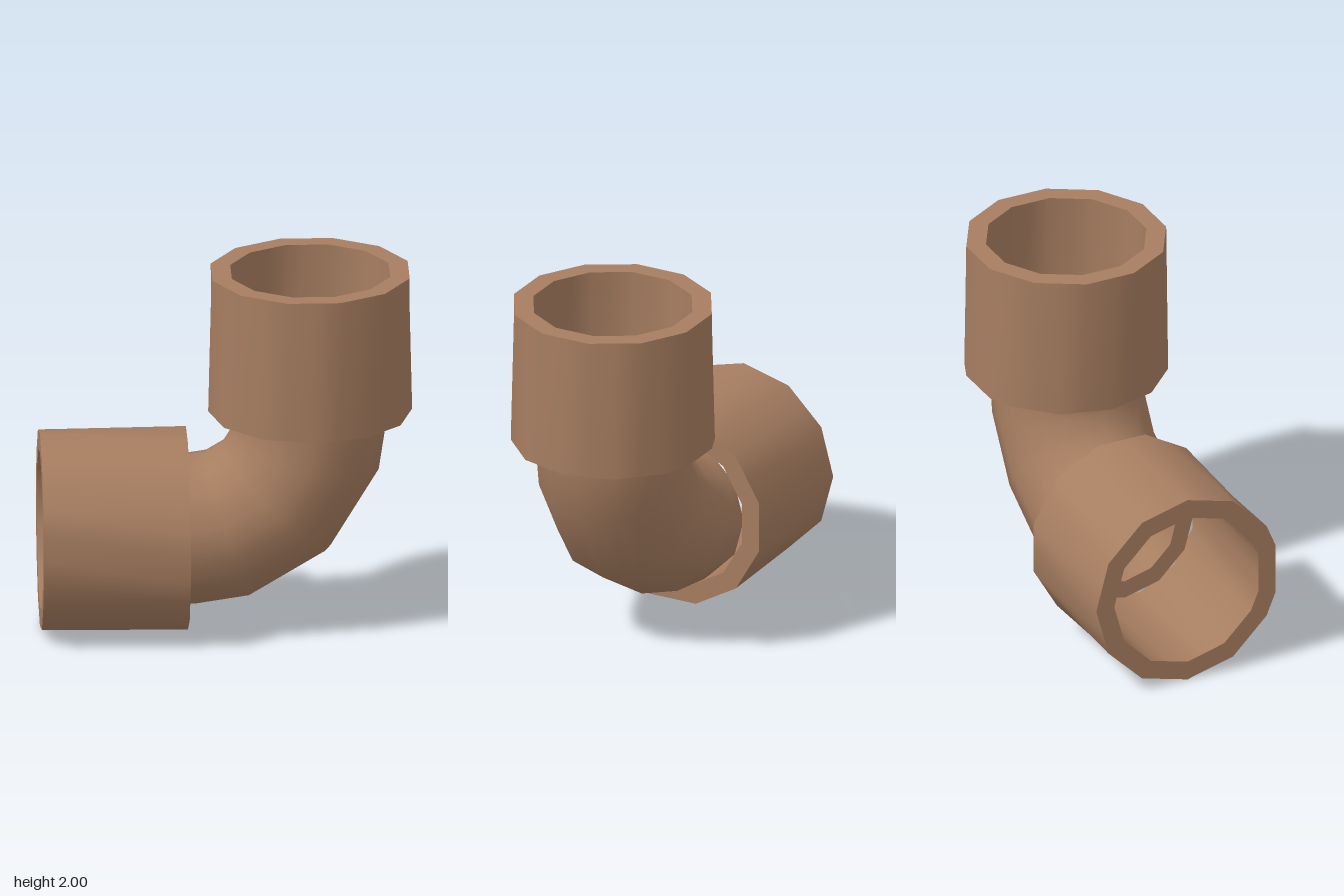
import * as THREE from 'three';
import { mergeGeometries } from 'three/addons/utils/BufferGeometryUtils.js';

const BEND = 0.63;                         // radius of the bend's centre line
const CX = -0.178, CY = 1.178;             // centre of the bend
const SIDES = 24;                          // 12 corners and 12 edge middles

// 12-sided ring across the pipe at bend angle a, pushed along the pipe by 'shift'.
// odd: corners sit half a step round; flatAt: index where one corner is cut flat.
function ring(a, shift, r, odd = 0, flatAt = -1) {
  const points = [];
  for (let k = 0; k < SIDES; k++) {
    let corner = k % 2 === odd;
    if (flatAt >= 0) {
      const d = Math.min((k - flatAt + SIDES) % SIDES, (flatAt - k + SIDES) % SIDES);
      if (d === 0) corner = false;
      if (d === 1) corner = true;
    }
    const rr = corner ? r : r * Math.cos(Math.PI / 12);
    const phi = (k / SIDES) * Math.PI * 2;
    const out = BEND + rr * Math.cos(phi);
    points.push([
      CX + Math.sin(a) * out + Math.cos(a) * shift,
      CY - Math.cos(a) * out + Math.sin(a) * shift,
      rr * Math.sin(phi),
    ]);
  }
  return points;
}

// Smooth skin through a list of rings
function loft(rings) {
  const index = [];
  for (let i = 0; i < rings.length - 1; i++) {
    for (let k = 0; k < SIDES; k++) {
      const n = (k + 1) % SIDES;
      const a = i * SIDES + k, b = i * SIDES + n;
      const c = a + SIDES, d = b + SIDES;
      index.push(a, c, b, b, c, d);
    }
  }
  const g = new THREE.BufferGeometry();
  g.setAttribute('position', new THREE.Float32BufferAttribute(rings.flat(2), 3));
  g.setIndex(index);
  g.computeVertexNormals();
  return g;
}

// Hollow tube: outer skin, end rim, inner skin, start rim
function hollow(outer, inner) {
  const last = outer.length - 1;
  return mergeGeometries([
    loft(outer),
    loft([outer[last], inner[last]]),
    loft([...inner].reverse()),
    loft([inner[0], outer[0]]),
  ]);
}

export function createModel() {
  const group = new THREE.Group();
  const copper = new THREE.MeshStandardMaterial({ color: 0xa67d60 });
  copper.name = 'copper brown';
  const add = (name, geometry) => {
    const mesh = new THREE.Mesh(geometry, copper);
    mesh.name = name;
    group.add(mesh);
  };

  // Curved pipe, with short straight ends tucked into the sockets
  const Q = Math.PI / 2;
  const stations = [[0, -0.07], [0, 0], [0.3, 0], [Q / 2, 0], [Q - 0.3, 0], [Q, 0], [Q, 0.07]];
  const pipe = r => stations.map(([a, s]) => ring(a, s, r));
  add('elbowPipe', hollow(pipe(0.415), pipe(0.315)));

  // Sockets: the two ends are turned half a step against each other
  const socket = (a, start, end, flatAt) => {
    const skin = r => [ring(a, start, r, 0, flatAt), ring(a, end, r, 1)];
    return hollow(skin(0.548), skin(0.44));
  };
  add('upperSocket', socket(Q, 1.21 - CY, 2 - CY, 18));
  add('sideSocket', socket(0, -1 - CX, -0.21 - CX, 6));

  return group;
}
